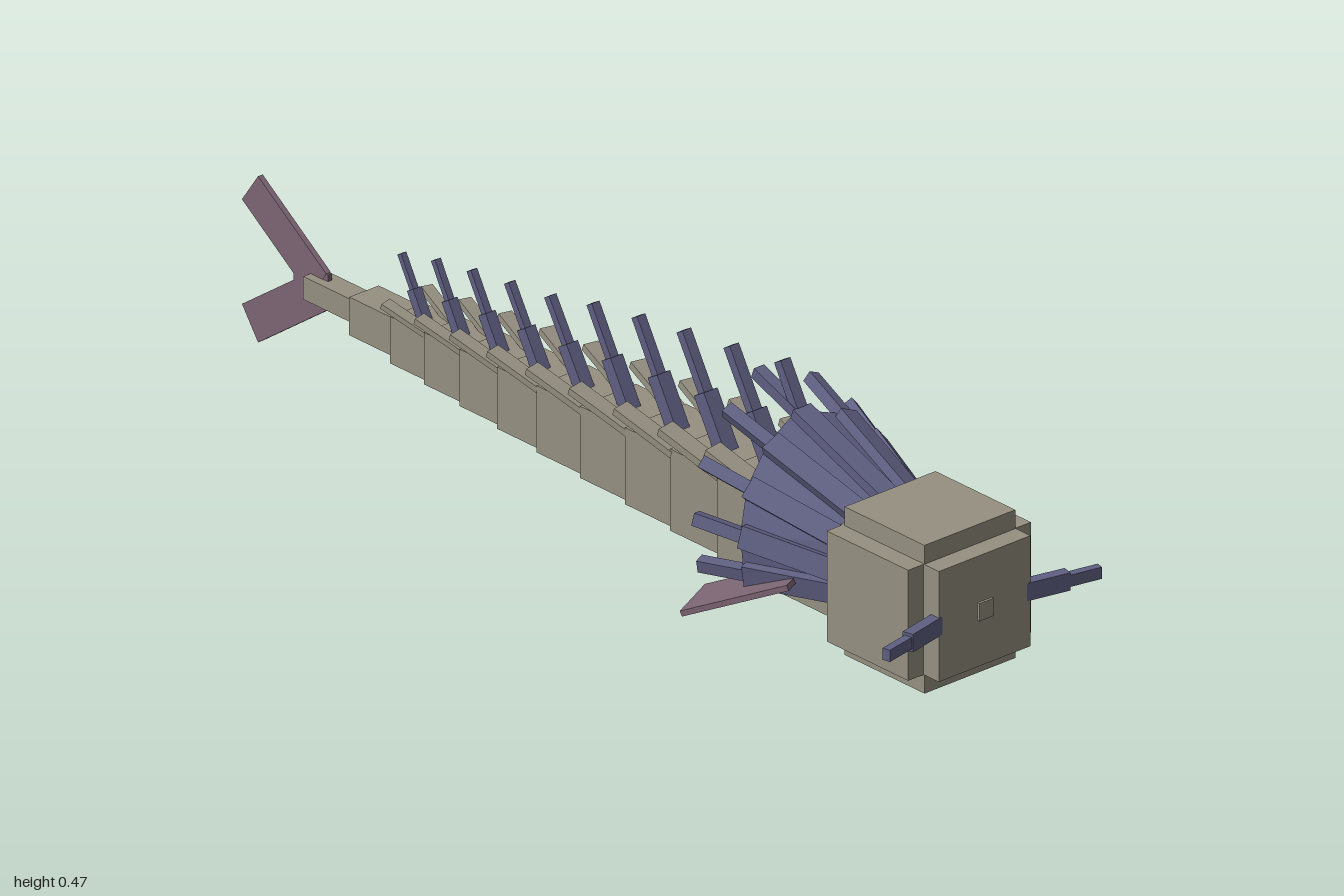
import * as THREE from 'three';

const V = (x, y, z) => new THREE.Vector3(x, y, z);

export function createModel() {
  const model = new THREE.Group();
  model.name = 'spinedSeaSerpent';
  const material = (name, color, side = THREE.FrontSide) => {
    const m = new THREE.MeshStandardMaterial({ color, flatShading: true, side });
    m.name = name;
    return m;
  };
  const hide = material('stoneTan', 0x959081);
  const spineMat = material('slateBlue', 0x5f5f82, THREE.DoubleSide);
  const finMat = material('duskyPink', 0x7c6573);

  const add = (name, geometry, mat) => {
    const mesh = new THREE.Mesh(geometry, mat);
    mesh.name = name;
    model.add(mesh);
    return mesh;
  };
  // Box given by its limits on each axis, symmetric in x
  const block = (name, halfX, y0, y1, z0, z1, mat) =>
    add(name, new THREE.BoxGeometry(halfX * 2, y1 - y0, z1 - z0), mat)
      .position.set(0, (y0 + y1) / 2, (z0 + z1) / 2);
  // Square-ended bar from a to b; "across" sets the direction of its width
  const bar = (name, a, b, width, thick, across, mat) => {
    const dir = b.clone().sub(a);
    const length = dir.length();
    dir.normalize();
    const x = across.clone().addScaledVector(dir, -across.dot(dir)).normalize();
    const y = dir.clone().cross(x);
    const g = new THREE.BoxGeometry(width, thick, length);
    g.applyMatrix4(new THREE.Matrix4().makeBasis(x, y, dir));
    const mid = a.clone().lerp(b, 0.5);
    add(name, g, mat).position.copy(mid);
  };

  // Head: three crossing blocks and a small snout plate
  block('headTall', 0.108, 0.018, 0.309, 0.71, 0.921, hide);
  block('headWide', 0.146, 0.055, 0.272, 0.705, 0.92, hide);
  block('headDeep', 0.109, 0.055, 0.272, 0.7, 0.96, hide);
  block('snout', 0.017, 0.146, 0.181, 0.95, 0.965, hide);

  // Body segments, shrinking toward the tail
  const cuts = [0.7, 0.485, 0.345, 0.215, 0.09, -0.035, -0.155, -0.265, -0.37, -0.47, -0.565];
  const spineTips = [[0.46, 0.425], [0.44, 0.29], [0.425, 0.165], [0.41, 0.045], [0.392, -0.075],
    [0.366, -0.188], [0.354, -0.295], [0.342, -0.395], [0.328, -0.49], [0.308, -0.58]];
  for (let i = 0; i < 10; i++) {
    const t = i / 9;
    const front = cuts[i], back = cuts[i + 1];
    const half = 0.088 - 0.047 * t;
    const top = 0.244 - 0.042 * t;
    block('bodySegment', half, 0.064 + 0.046 * t, top, back, front + 0.004, hide);

    // Raised scale on each upper edge
    const start = Math.min(front, 0.5);
    for (const s of [-1, 1]) {
      bar('backScale', V(s * (half - 0.012), top - 0.006, start),
        V(s * (half + 0.008), top + 0.046 - 0.02 * t, back - 0.005),
        0.042 - 0.018 * t, 0.016 - 0.005 * t, V(1, 0, 0), hide);
    }

    // Dorsal spine: thick root and thin tip
    const tip = V(0, ...spineTips[i]);
    const root = V(0, top - 0.01, tip.z + 0.13 - 0.065 * t);
    const size = 1 - 0.45 * t;
    bar('dorsalSpineRoot', root, root.clone().lerp(tip, 0.5), 0.036 * size, 0.034 * size, V(1, 0, 0), spineMat);
    bar('dorsalSpineTip', root, tip, 0.023 * size, 0.02 * size, V(1, 0, 0), spineMat);
  }
  block('tailSegment', 0.035, 0.122, 0.197, -0.68, -0.56, hide);
  block('tailEnd', 0.023, 0.14, 0.185, -0.815, -0.67, hide);

  // Forked tail fin
  for (const s of [-1, 1]) {
    bar('tailBlade', V(0, 0.163 + s * 0.006, -0.795), V(0, 0.163 + s * 0.133, -0.975),
      0.011, 0.074, V(1, 0, 0), finMat);
  }
  block('tailFinCentre', 0.005, 0.128, 0.198, -0.86, -0.77, finMat);

  // Frill: stepped spines fanned behind the head, joined by webs
  const roots = [V(0, 0.285, 0.71), V(0.06, 0.27, 0.71), V(0.095, 0.232, 0.71), V(0.108, 0.18, 0.71), V(0.106, 0.142, 0.71)];
  const tips = [V(0, 0.415, 0.36), V(0.1, 0.382, 0.39), V(0.175, 0.31, 0.41), V(0.211, 0.219, 0.43), V(0.205, 0.13, 0.435)];
  const flip = (v, s) => V(v.x * s, v.y, v.z);
  for (const s of [-1, 1]) {
    for (let i = 0; i < 5; i++) {
      const a = flip(roots[i], s), b = flip(tips[i], s);
      if (i > 0 || s > 0) {
        const across = V(b.y - 0.165, -b.x, 0).normalize();
        bar('frillSpineRoot', a, a.clone().lerp(b, 0.68), 0.042, 0.03, across, spineMat);
        bar('frillSpineTip', a, b, 0.024, 0.022, across, spineMat);
      }
      if (i < 4) {
        const c = flip(roots[i + 1], s), d = flip(tips[i + 1], s);
        const p = a.clone().lerp(b, 0.7), q = c.clone().lerp(d, 0.7);
        const corners = s > 0 ? [a, p, q, a, q, c] : [a, q, p, a, c, q];
        const web = new THREE.BufferGeometry().setFromPoints(corners);
        web.computeVertexNormals();
        add('frillWeb', web, spineMat);
      }
    }

    // Whisker in two steps
    bar('whiskerBase', V(s * 0.088, 0.163, 0.946), V(s * 0.19, 0.163, 0.968), 0.035, 0.022, V(0, 1, 0), spineMat);
    bar('whiskerTip', V(s * 0.17, 0.163, 0.965), V(s * 0.254, 0.163, 0.982), 0.023, 0.016, V(0, 1, 0), spineMat);

    // Side fin sloping out, down and back
    bar('sideFin', V(s * 0.128, 0.148, 0.615), V(s * 0.222, 0.064, 0.437),
      0.125, 0.011, V(s * 0.115, 0, 0.05), finMat);
  }
  return model;
}
